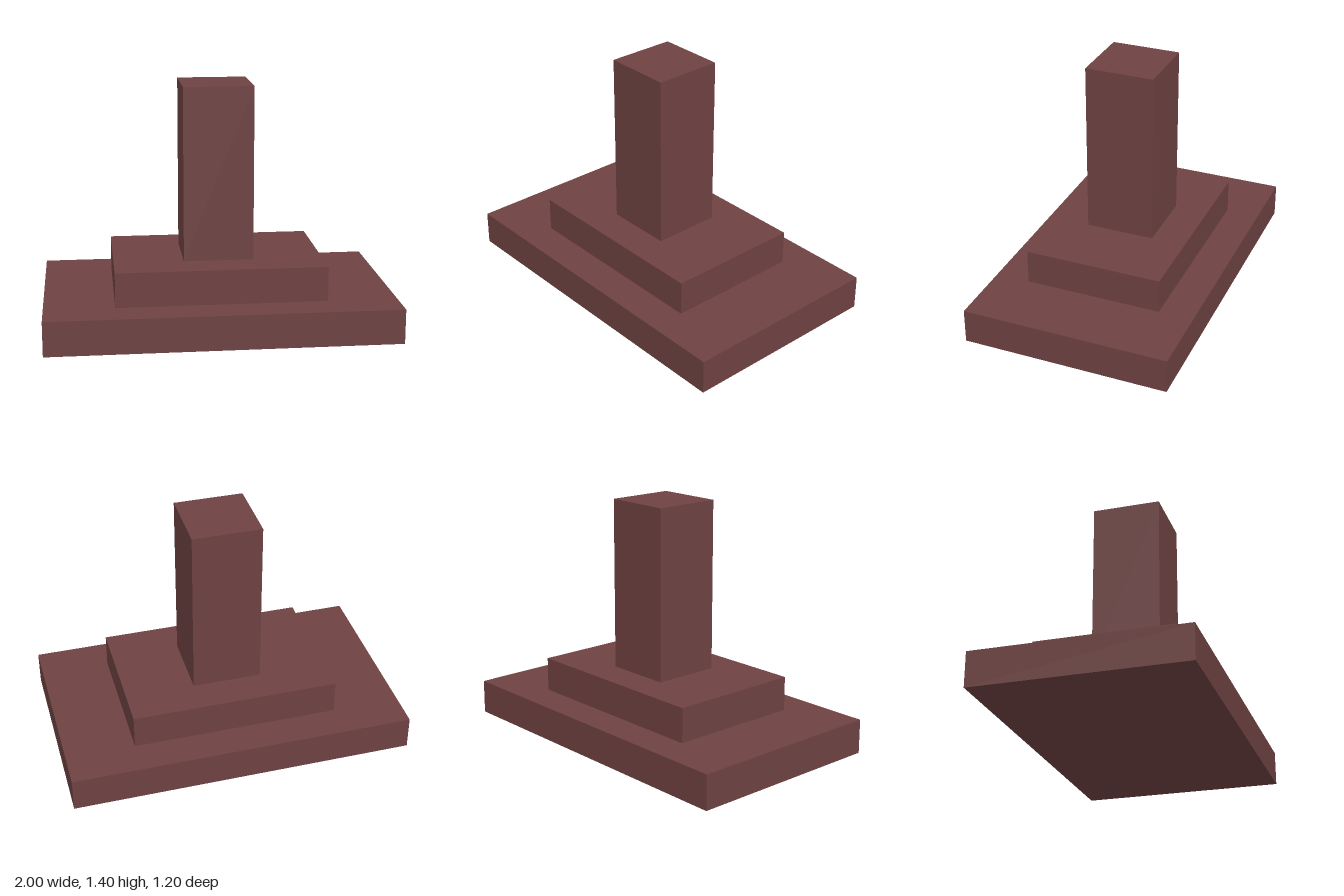
import * as THREE from 'three';

export function createModel() {
  const model = new THREE.Group();
  model.name = 'steppedPillar';

  const brown = new THREE.MeshStandardMaterial({ color: 0x6e4141 });
  brown.name = 'reddish brown';

  // Stacked blocks, bottom to top: name, width, height, depth
  const tiers = [
    ['basePlinth', 2, 0.2, 1.2],
    ['upperStep', 1.2, 0.2, 0.8],
    ['pillar', 0.4, 1, 0.4],
  ];

  let y = 0;
  for (const [name, width, height, depth] of tiers) {
    const block = new THREE.Mesh(new THREE.BoxGeometry(width, height, depth), brown);
    block.name = name;
    block.position.y = y + height / 2;
    model.add(block);
    y += height;
  }

  return model;
}
